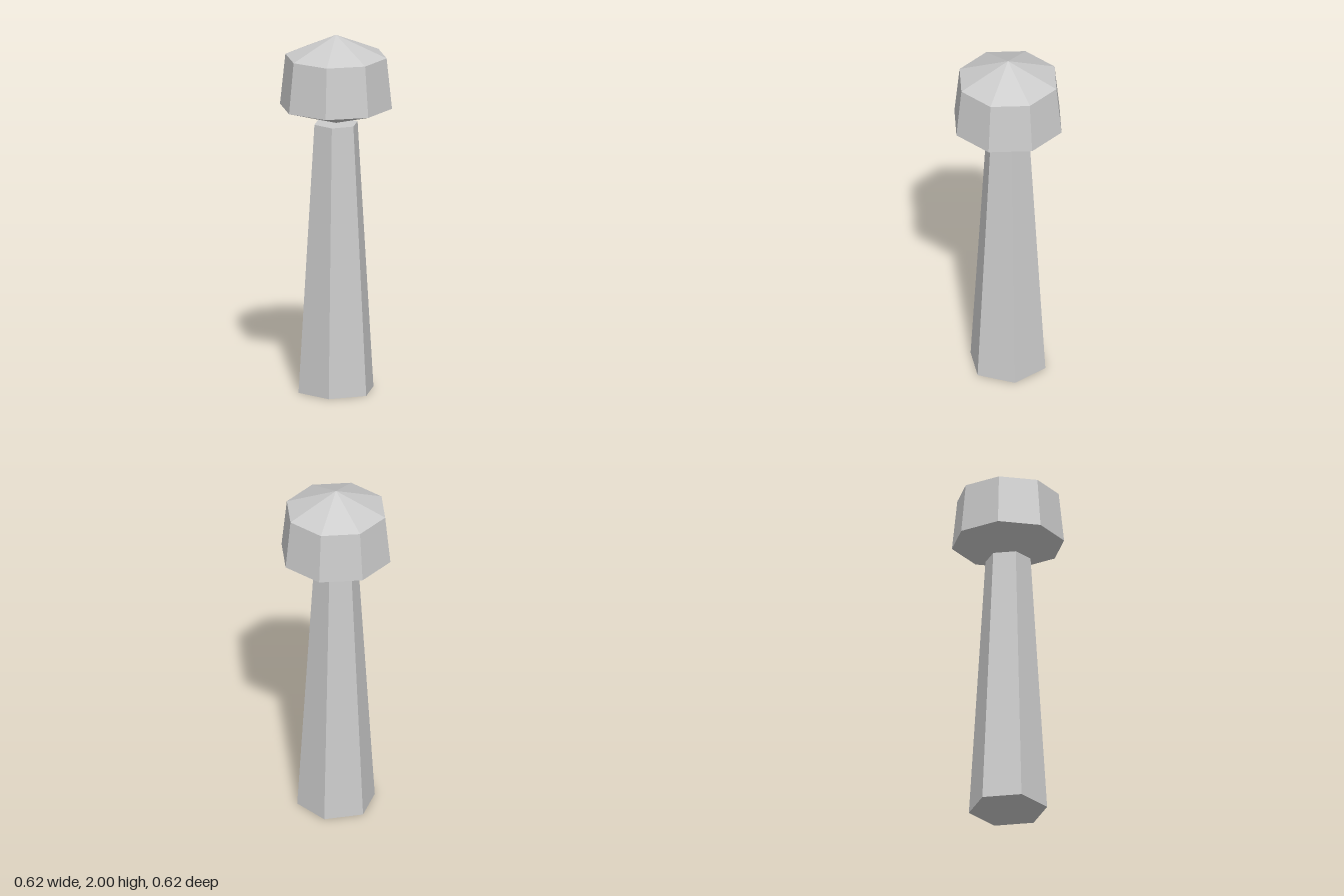
import * as THREE from 'three';

export function createModel() {
  const model = new THREE.Group();
  const material = new THREE.MeshStandardMaterial({ color: 0xcccccc, flatShading: true });

  const addPart = (name, geometry, y = 0) => {
    const mesh = new THREE.Mesh(geometry, material);
    mesh.name = name;
    mesh.position.y = y;
    model.add(mesh);
  };

  // Tapered six-sided shaft
  addPart('shaft', new THREE.CylinderGeometry(0.125, 0.217, 1.503, 6), 0.7515);

  // Eight-sided head: shallow cone below, tapered band, pointed cap
  const profile = [[0, 1.503], [0.311, 1.597], [0.281, 1.88], [0, 2]];
  addPart('head', new THREE.LatheGeometry(profile.map(([r, y]) => new THREE.Vector2(r, y)), 8));

  return model;
}
